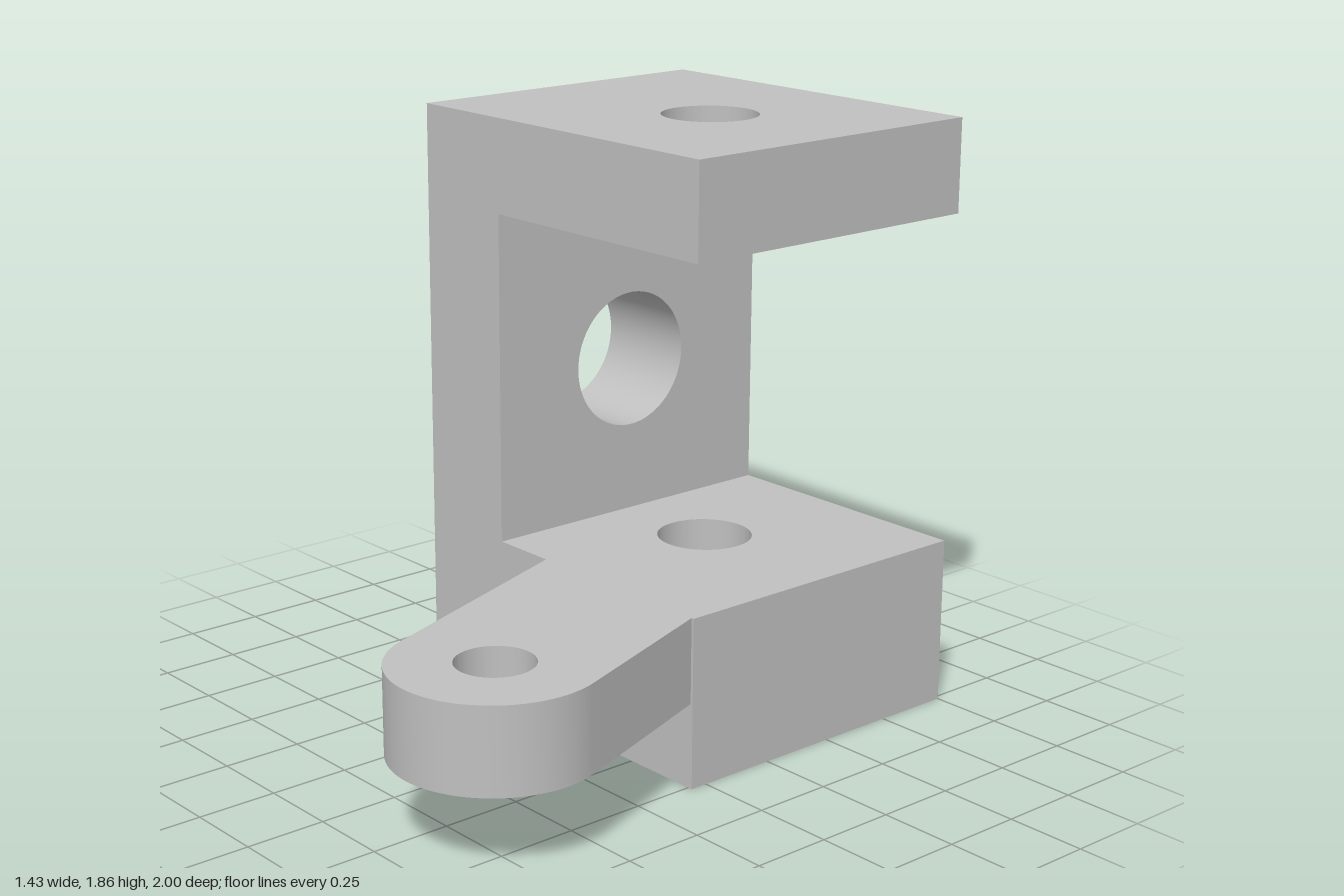
import * as THREE from 'three';
import { toCreasedNormals } from 'three/addons/utils/BufferGeometryUtils.js';

// Closed outline from points, or a prepared shape, with one round hole
function withHole(shape, x, y, r) {
  const hole = new THREE.Path();
  hole.absarc(x, y, r, 0, Math.PI * 2, true);
  shape.holes.push(hole);
  return shape;
}

function rectangle(x0, y0, x1, y1) {
  return new THREE.Shape([[x0, y0], [x1, y0], [x1, y1], [x0, y1]].map(p => new THREE.Vector2(...p)));
}

function extrude(shape, depth) {
  return new THREE.ExtrudeGeometry(shape, { depth, bevelEnabled: false, curveSegments: 48 });
}

// Shape drawn in x and z, filling the height from y0 to y1
function slab(shape, y0, y1) {
  return extrude(shape, y1 - y0).rotateX(Math.PI / 2).translate(0, y1, 0);
}

export function createModel() {
  const model = new THREE.Group();
  model.name = 'bracket';
  const steel = new THREE.MeshStandardMaterial({ color: 0xc0c0c0 });
  steel.name = 'grey steel';

  const add = (name, geometry) => {
    const mesh = new THREE.Mesh(toCreasedNormals(geometry, 0.4), steel);
    mesh.name = name;
    model.add(mesh);
  };

  const left = -0.715, right = 0.515, back = -1, front = 0.056;
  const floorTop = 0.53, ceiling = 1.565, top = 1.855;

  // Two horizontal plates, each bored through
  for (const [name, y0, y1] of [['bottomPlate', 0, floorTop], ['topPlate', ceiling, top]]) {
    add(name, slab(withHole(rectangle(left, back, right, front), -0.012, -0.472, 0.148), y0, y1));
  }

  // Upright wall with its large bore, drawn in -z and y
  const wall = withHole(rectangle(-front, floorTop, -back, ceiling), 0.472, 1.027, 0.217);
  add('sideWall', extrude(wall, 0.348).rotateY(Math.PI / 2).translate(left, 0, 0));

  // Slanted arm with a rounded, bored end
  const cx = 0.405, cz = 0.69, r = 0.309, tilt = 0.344;
  const slope = Math.tan(tilt);
  const edgeX = side => cx + side * r / Math.cos(tilt) - (cz - front) * slope;
  const arm = new THREE.Shape();
  arm.moveTo(edgeX(-1), front);
  arm.lineTo(edgeX(1), front);
  arm.absarc(cx, cz, r, -tilt, Math.PI - tilt, false);
  arm.closePath();
  add('arm', slab(withHole(arm, cx, cz, 0.117), 0.265, floorTop));

  return model;
}
